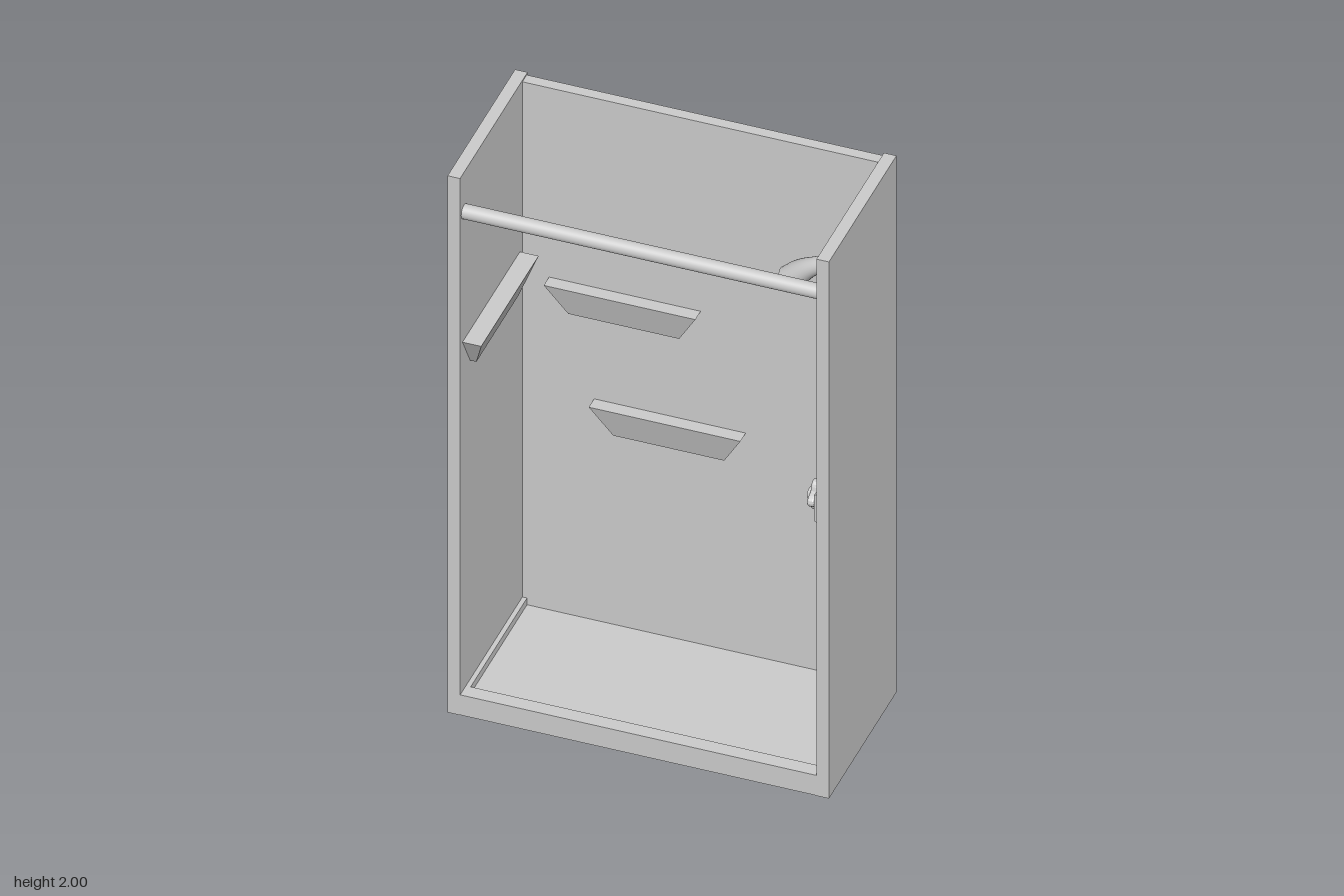
import * as THREE from 'three';

const material = new THREE.MeshStandardMaterial({ color: 0xcccccc });

function add(parent, name, geometry, x = 0, y = 0, z = 0) {
  const mesh = new THREE.Mesh(geometry, material);
  mesh.name = name;
  mesh.position.set(x, y, z);
  parent.add(mesh);
  return mesh;
}

// Box given by its minimum and maximum corners
function block(parent, name, [x0, y0, z0], [x1, y1, z1]) {
  const geometry = new THREE.BoxGeometry(x1 - x0, y1 - y0, z1 - z0);
  return add(parent, name, geometry, (x0 + x1) / 2, (y0 + y1) / 2, (z0 + z1) / 2);
}

// Wall shelf: top at y = 0, back at z = 0, tapering towards the bottom
function shelfGeometry(depth, bottomDepth) {
  const length = 0.485, height = 0.113, inset = 0.065;
  const geometry = new THREE.BoxGeometry(length, height, depth);
  geometry.translate(0, -height / 2, depth / 2);
  const p = geometry.attributes.position;
  for (let i = 0; i < p.count; i++) {
    if (p.getY(i) > -height / 2) continue;
    p.setX(i, p.getX(i) - Math.sign(p.getX(i)) * inset);
    if (p.getZ(i) > depth / 2) p.setZ(i, bottomDepth);
  }
  geometry.computeVertexNormals();
  return geometry;
}

// Bent pipe that flares towards its open end
function showerHead() {
  const group = new THREE.Group();
  group.name = 'showerHead';
  const path = new THREE.CatmullRomCurve3([
    [0.58, 1.775], [0.5, 1.774], [0.447, 1.75], [0.376, 1.69],
  ].map(([x, y]) => new THREE.Vector3(x, y, 0.015)));
  const rings = 24, sides = 24, endRadius = 0.039;
  const pipe = new THREE.TubeGeometry(path, rings, 1, sides);
  const p = pipe.attributes.position;
  const v = new THREE.Vector3();
  for (let i = 0; i <= rings; i++) {
    const t = i / rings;
    const centre = path.getPointAt(t);
    const flare = THREE.MathUtils.smoothstep(t, 0.45, 0.85);
    const radius = 0.03 - 0.003 * Math.min(t / 0.45, 1) + (endRadius - 0.027) * flare;
    for (let j = 0; j <= sides; j++) {
      const k = i * (sides + 1) + j;
      v.fromBufferAttribute(p, k).sub(centre).multiplyScalar(radius).add(centre);
      p.setXYZ(k, v.x, v.y, v.z);
    }
  }
  add(group, 'showerPipe', pipe);
  const end = path.getPointAt(1);
  const face = add(group, 'sprayFace', new THREE.CircleGeometry(endRadius, sides), end.x, end.y, end.z);
  face.lookAt(end.clone().add(path.getTangentAt(1)));
  return group;
}

// Four-lobed tap handle facing -x
function tap(name, z) {
  const group = new THREE.Group();
  group.name = name;
  const outline = [];
  for (let i = 0; i < 48; i++) {
    const a = (i / 48) * Math.PI * 2;
    const r = 0.039 + 0.01 * Math.cos(4 * a);
    outline.push(new THREE.Vector2(r * Math.cos(a), r * Math.sin(a)));
  }
  const handle = new THREE.ExtrudeGeometry(new THREE.Shape(outline), {
    depth: 0.01, bevelThickness: 0.006, bevelSize: 0.005, bevelSegments: 3,
  });
  add(group, 'handle', handle, 0, 0, 0.012);
  const hub = new THREE.CylinderGeometry(0.018, 0.025, 0.046, 24);
  hub.rotateX(Math.PI / 2);
  add(group, 'hub', hub, 0, 0, 0.017);
  group.rotation.y = -Math.PI / 2;
  group.position.set(0.53, 1.005, z);
  return group;
}

export function createModel() {
  const model = new THREE.Group();
  model.name = 'showerStall';

  // Enclosure
  for (const [name, x] of [['leftWall', 0.57], ['rightWall', -0.61]]) {
    block(model, name, [x, 0, -0.285], [x + 0.04, 2, 0.285]);
  }
  block(model, 'backWall', [-0.57, 0.06, -0.278], [0.57, 1.995, -0.241]);

  // Floor tray with raised rims
  const tray = new THREE.Group();
  tray.name = 'floorTray';
  model.add(tray);
  block(tray, 'trayFloor', [-0.57, 0, -0.284], [0.57, 0.05, 0.235]);
  block(tray, 'frontRim', [-0.57, 0, 0.235], [0.57, 0.075, 0.284]);
  block(tray, 'backRim', [-0.57, 0.04, -0.284], [0.57, 0.06, -0.241]);
  for (const x of [-0.57, 0.555]) {
    block(tray, 'sideRim', [x, 0.04, -0.241], [x + 0.015, 0.075, 0.235]);
  }

  // Curtain rod
  const rod = new THREE.CylinderGeometry(0.024, 0.024, 1.14, 32);
  rod.rotateZ(Math.PI / 2);
  add(model, 'curtainRod', rod, 0, 1.855, 0.251);

  // Shelves
  const backShelf = shelfGeometry(0.045, 0.01);
  add(model, 'upperBackShelf', backShelf, -0.242, 1.29, -0.241);
  add(model, 'lowerBackShelf', backShelf, -0.098, 0.874, -0.241);
  const sideShelf = add(model, 'sideShelf', shelfGeometry(0.06, 0.02), -0.57, 1.376, 0.022);
  sideShelf.rotation.y = Math.PI / 2;

  // Shower head and taps
  model.add(showerHead());
  const plateProfile = new THREE.Shape([
    [0.575, 0.93], [0.575, 1.075], [0.53, 1.05], [0.53, 0.955],
  ].map(([x, y]) => new THREE.Vector2(x, y)));
  const plate = new THREE.ExtrudeGeometry(plateProfile, { depth: 0.33, bevelEnabled: false });
  add(model, 'tapPlate', plate, 0, 0, -0.13);
  model.add(tap('backTap', -0.075), tap('frontTap', 0.135));

  return model;
}
